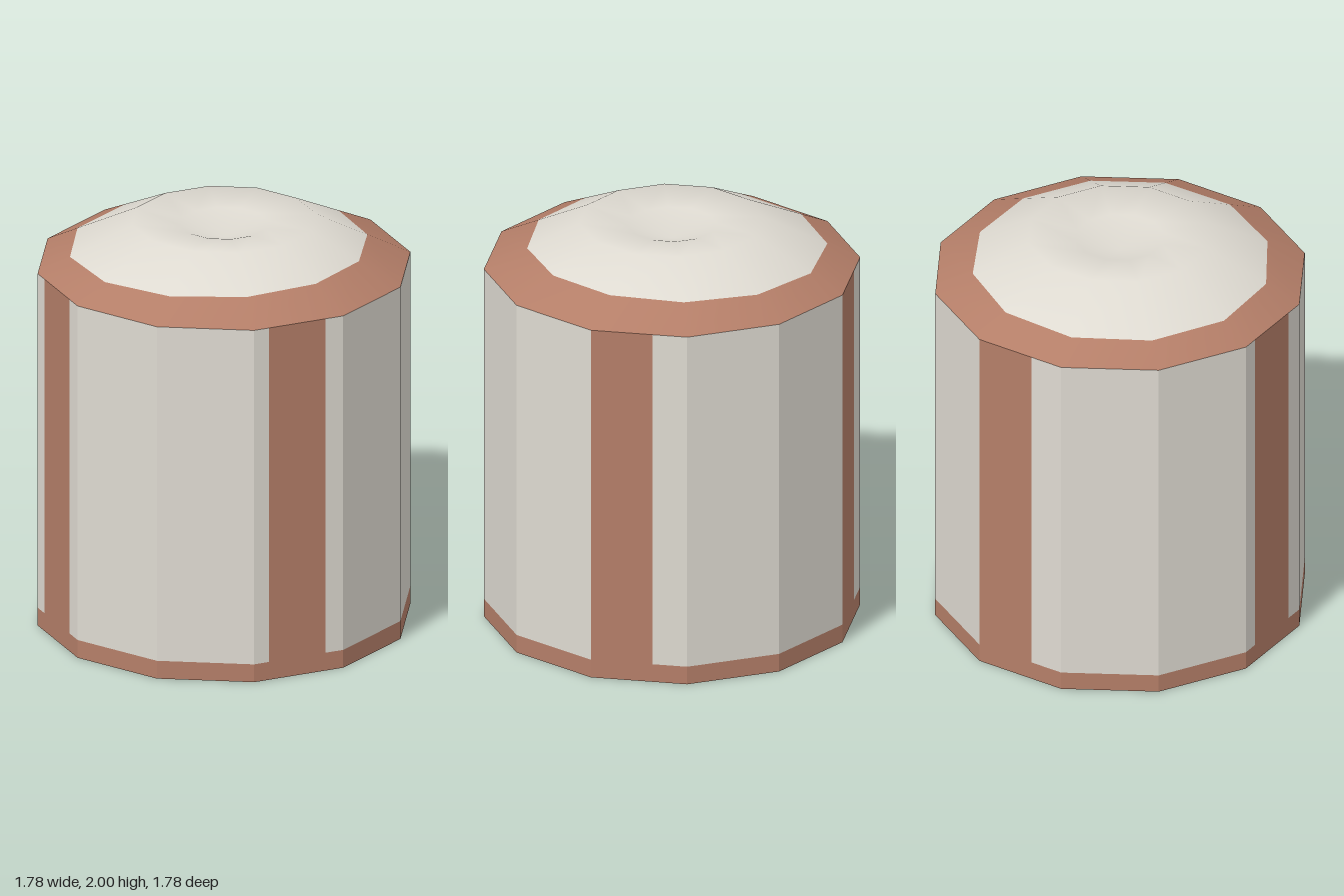
import * as THREE from 'three';

const SIDES = 12;
const RADIUS = 0.89;
const EAVE = 1.78;
const BAND = 0.09;

// Point on the twelve-sided wall outline: corner i plus a fraction of the next side
function wallPoint(i, f, y) {
  const a = (i * Math.PI * 2) / SIDES;
  const b = ((i + 1) * Math.PI * 2) / SIDES;
  return [
    RADIUS * (Math.cos(a) * (1 - f) + Math.cos(b) * f), y,
    RADIUS * (Math.sin(a) * (1 - f) + Math.sin(b) * f),
  ];
}

// Two triangles facing outwards
function addPanel(list, i, f0, f1, y0, y1) {
  if (f1 - f0 < 0.001) return;
  const a = wallPoint(i, f1, y0), b = wallPoint(i, f0, y0);
  const c = wallPoint(i, f0, y1), d = wallPoint(i, f1, y1);
  list.push(...a, ...b, ...c, ...a, ...c, ...d);
}

function meshFrom(list, material, name) {
  const geometry = new THREE.BufferGeometry();
  geometry.setAttribute('position', new THREE.Float32BufferAttribute(list, 3));
  geometry.computeVertexNormals();
  const mesh = new THREE.Mesh(geometry, material);
  mesh.name = name;
  return mesh;
}

// Smooth roof: sloped skirt, crown and a shallow dimple
function makeRoof(trim, plaster) {
  const slopeY = (r) => EAVE + (0.22 * (RADIUS - r)) / (RADIUS - 0.44);
  const rings = [
    () => [RADIUS, EAVE],
    (a) => {
      // Trim edge sits slightly off centre
      const r = 0.71 - 0.025 * Math.cos(a) + 0.015 * Math.sin(a);
      return [r, slopeY(r)];
    },
    () => [0.44, 2],
    () => [0.21, 1.98],
  ];
  const positions = [];
  for (const ring of rings) {
    for (let i = 0; i < SIDES; i++) {
      const a = (i * Math.PI * 2) / SIDES;
      const [r, y] = ring(a);
      positions.push(r * Math.cos(a), y, r * Math.sin(a));
    }
  }
  positions.push(0, 1.91, 0);

  const index = [];
  for (let j = 0; j < rings.length; j++) {
    for (let i = 0; i < SIDES; i++) {
      const n = (i + 1) % SIDES;
      const p0 = j * SIDES + i, p1 = j * SIDES + n;
      if (j === rings.length - 1) {
        index.push(p1, p0, rings.length * SIDES);
      } else {
        index.push(p1, p0, p0 + SIDES, p1, p0 + SIDES, p1 + SIDES);
      }
    }
  }
  const geometry = new THREE.BufferGeometry();
  geometry.setAttribute('position', new THREE.Float32BufferAttribute(positions, 3));
  geometry.setIndex(index);
  geometry.computeVertexNormals();
  geometry.addGroup(0, SIDES * 6, 0);
  geometry.addGroup(SIDES * 6, index.length - SIDES * 6, 1);
  const roof = new THREE.Mesh(geometry, [trim, plaster]);
  roof.name = 'roof';
  return roof;
}

export function createModel() {
  const plaster = new THREE.MeshStandardMaterial({ color: 0xdedad1, side: THREE.DoubleSide });
  plaster.name = 'pale plaster';
  const trim = new THREE.MeshStandardMaterial({ color: 0xb47e68, side: THREE.DoubleSide });
  trim.name = 'terracotta trim';

  // Upright stripes: side index -> start and end fraction along that side
  const stripes = { 0: [0.2, 0.83], 3: [0.2, 0.83], 6: [0.36, 1], 9: [0.36, 1] };

  const wall = [], stripe = [], base = [];
  for (let i = 0; i < SIDES; i++) {
    addPanel(base, i, 0, 1, 0, BAND);
    const [s, e] = stripes[i] ?? [1, 1];
    addPanel(wall, i, 0, s, BAND, EAVE);
    addPanel(stripe, i, s, e, BAND, EAVE);
    addPanel(wall, i, e, 1, BAND, EAVE);
  }

  const model = new THREE.Group();
  model.name = 'roundTower';
  model.add(
    meshFrom(wall, plaster, 'wall'),
    meshFrom(stripe, trim, 'uprightStripes'),
    meshFrom(base, trim, 'baseBand'),
    makeRoof(trim, plaster),
  );
  return model;
}
